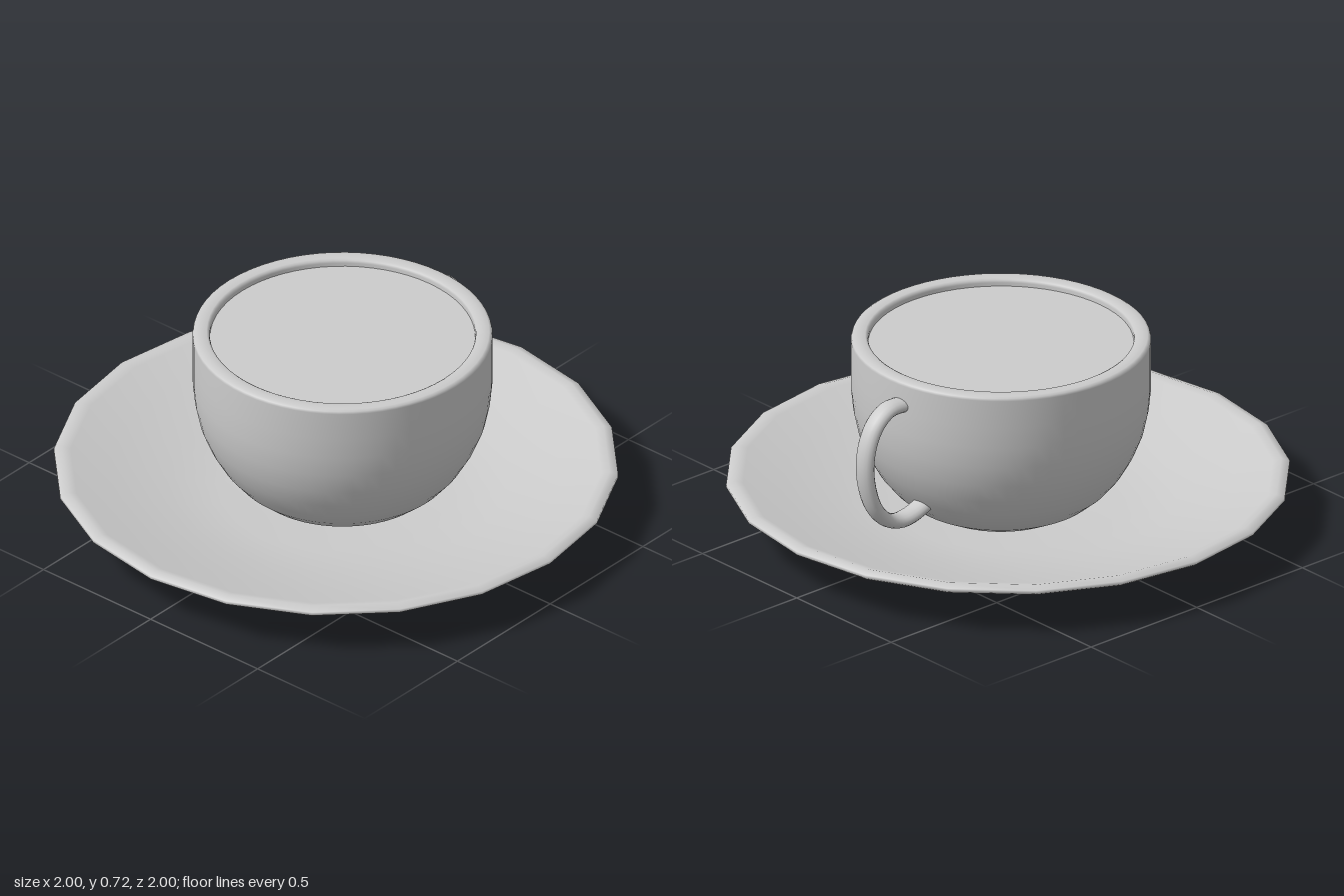
import * as THREE from 'three';

const material = new THREE.MeshStandardMaterial({ color: 0xcccccc, side: THREE.DoubleSide });

function addMesh(parent, name, geometry) {
  const mesh = new THREE.Mesh(geometry, material);
  mesh.name = name;
  parent.add(mesh);
  return mesh;
}

// Smooth surface of revolution from [radius, height] pairs
const turn = (points, sides) =>
  new THREE.LatheGeometry(points.map(([r, y]) => new THREE.Vector2(r, y)), sides);

export function createModel() {
  const model = new THREE.Group();
  model.name = 'cupAndSaucer';

  // Twenty-sided saucer: flat foot, flared underside, thin rim, shallow dish
  addMesh(model, 'saucer', turn([
    [0, 0], [0.35, 0], [0.62, 0], [0.99, 0.16], [1, 0.168], [1, 0.18], [0.97, 0.19],
    [0.94, 0.182], [0.8, 0.14], [0.6, 0.09], [0.4, 0.06], [0, 0.05],
  ], 20));

  // The cup sits slightly off the saucer's centre
  const cup = new THREE.Group();
  cup.name = 'cup';
  cup.position.set(0.024, 0, 0.01);
  model.add(cup);

  // Rounded bowl wall up to a thick softened lip, then down to the drink
  addMesh(cup, 'bowl', turn([
    [0, 0.045], [0.21, 0.05], [0.26, 0.073], [0.335, 0.113], [0.39, 0.16], [0.435, 0.215],
    [0.475, 0.285], [0.505, 0.36], [0.522, 0.44], [0.53, 0.52], [0.53, 0.6], [0.53, 0.705],
    [0.527, 0.714], [0.518, 0.719], [0.5, 0.72], [0.48, 0.719], [0.472, 0.714],
    [0.469, 0.705], [0.468, 0.67],
  ], 64));

  // Flat surface of the drink just under the lip
  const drink = addMesh(cup, 'drink', new THREE.CircleGeometry(0.469, 64));
  drink.rotation.x = -Math.PI / 2;
  drink.position.y = 0.692;

  // Ear-shaped handle, wider across than it is thick
  const path = new THREE.CatmullRomCurve3([
    [0.49, 0.622], [0.55, 0.627], [0.61, 0.624], [0.665, 0.585], [0.7, 0.52], [0.714, 0.44],
    [0.704, 0.35], [0.672, 0.265], [0.62, 0.205], [0.56, 0.18], [0.5, 0.184], [0.42, 0.215],
  ].map(([x, y]) => new THREE.Vector3(x, y, 0)));
  const handle = addMesh(model, 'handle', new THREE.TubeGeometry(path, 48, 0.026, 16));
  handle.scale.z = 1.54;
  handle.position.z = -0.042;

  return model;
}
